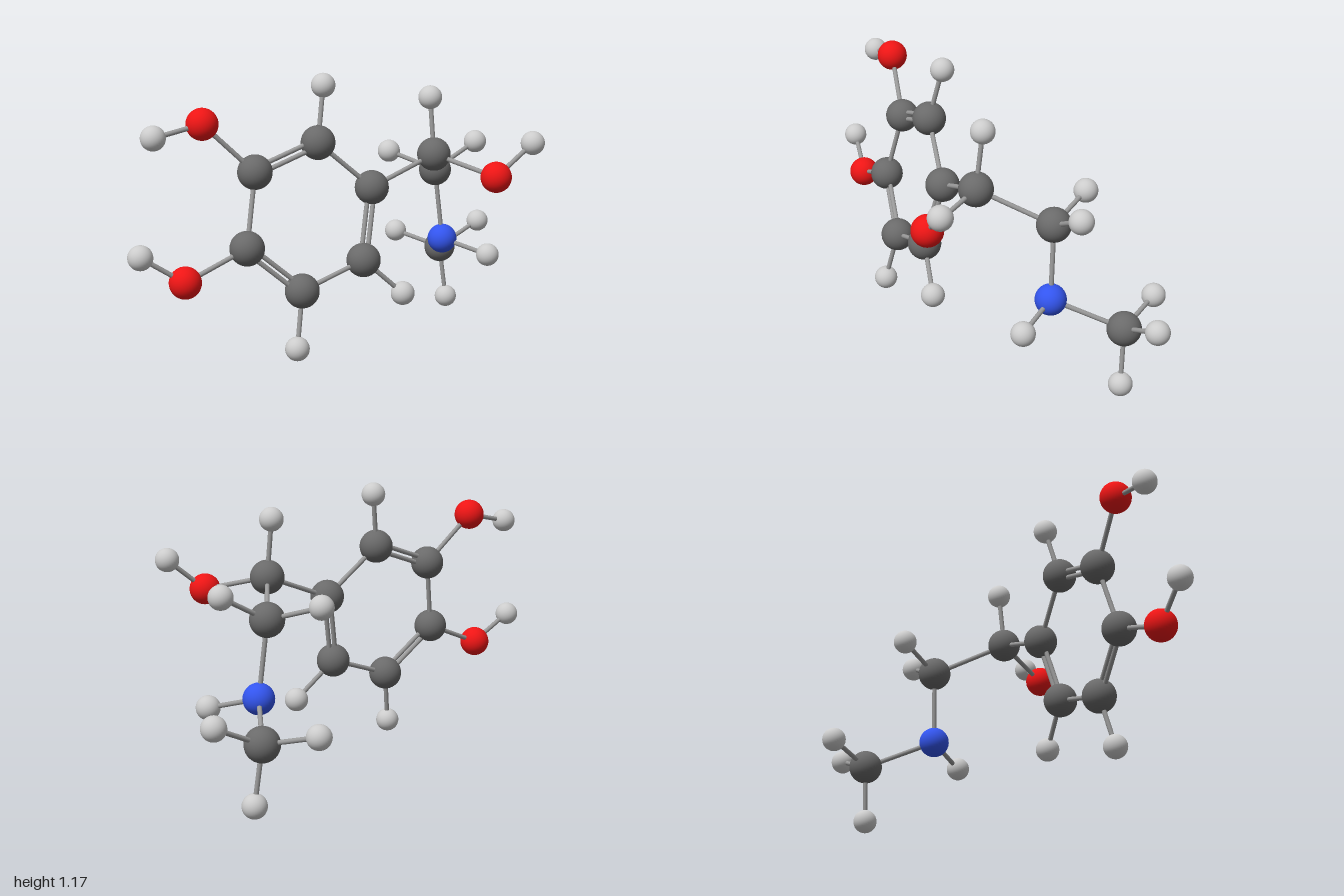
import * as THREE from 'three';

// Atom kinds: radius and colour
const KINDS = {
  carbon: { r: 0.068, color: 0x6a6a6a },
  hydrogen: { r: 0.048, color: 0xc0c0c0 },
  oxygen: { r: 0.062, color: 0xee1515 },
  nitrogen: { r: 0.062, color: 0x3355ee },
};

// name: [kind, x, y, z]
const ATOMS = {
  // six-membered ring
  ring1: ['carbon', 0.025, 0.709, 0.111],
  ring2: ['carbon', -0.187, 0.903, 0.037],
  ring3: ['carbon', -0.462, 0.815, -0.003],
  ring4: ['carbon', -0.532, 0.533, 0.037],
  ring5: ['carbon', -0.327, 0.345, 0.112],
  ring6: ['carbon', -0.05, 0.431, 0.151],
  // side chain
  chain1: ['carbon', 0.32, 0.813, 0.151],
  chain2: ['carbon', 0.526, 0.69, -0.065],
  amine: ['nitrogen', 0.55, 0.388, -0.041],
  chainEnd: ['carbon', 0.736, 0.28, -0.257],
  // hydroxyl groups
  upperOxygen: ['oxygen', -0.652, 1.011, -0.073],
  lowerOxygen: ['oxygen', -0.792, 0.436, 0.002],
  chainOxygen: ['oxygen', 0.407, 0.749, 0.423],
  upperOxygenH: ['hydrogen', -0.848, 0.975, -0.106],
  lowerOxygenH: ['hydrogen', -0.952, 0.548, -0.05],
  chainOxygenH: ['hydrogen', 0.564, 0.875, 0.467],
  // remaining hydrogens
  ring2H: ['hydrogen', -0.136, 1.12, 0.006],
  ring5H: ['hydrogen', -0.377, 0.128, 0.144],
  ring6H: ['hydrogen', 0.105, 0.28, 0.211],
  chain1H: ['hydrogen', 0.322, 1.042, 0.123],
  chain2HA: ['hydrogen', 0.73, 0.792, -0.035],
  chain2HB: ['hydrogen', 0.447, 0.749, -0.275],
  amineH: ['hydrogen', 0.637, 0.339, 0.15],
  endHA: ['hydrogen', 0.95, 0.371, -0.238],
  endHB: ['hydrogen', 0.756, 0.05, -0.235],
  endHC: ['hydrogen', 0.656, 0.327, -0.467],
};

const SINGLE = [
  ['ring1', 'ring2'], ['ring3', 'ring4'], ['ring5', 'ring6'],
  ['ring1', 'chain1'], ['chain1', 'chain2'], ['chain2', 'amine'], ['amine', 'chainEnd'],
  ['ring3', 'upperOxygen'], ['ring4', 'lowerOxygen'], ['chain1', 'chainOxygen'],
  ['upperOxygen', 'upperOxygenH'], ['lowerOxygen', 'lowerOxygenH'], ['chainOxygen', 'chainOxygenH'],
  ['ring2', 'ring2H'], ['ring5', 'ring5H'], ['ring6', 'ring6H'], ['chain1', 'chain1H'],
  ['chain2', 'chain2HA'], ['chain2', 'chain2HB'], ['amine', 'amineH'],
  ['chainEnd', 'endHA'], ['chainEnd', 'endHB'], ['chainEnd', 'endHC'],
];
const DOUBLE = [['ring2', 'ring3'], ['ring4', 'ring5'], ['ring6', 'ring1']];

const BOND_RADIUS = 0.0095;
const DOUBLE_OFFSET = 0.0135;
const UP = new THREE.Vector3(0, 1, 0);

const position = (name) => new THREE.Vector3(...ATOMS[name].slice(1));

export function createModel() {
  const model = new THREE.Group();
  model.name = 'ballAndStickMolecule';

  // Atoms: one shared sphere and material per kind
  const atoms = new THREE.Group();
  atoms.name = 'atoms';
  const looks = {};
  for (const [kind, { r, color }] of Object.entries(KINDS)) {
    looks[kind] = {
      geometry: new THREE.SphereGeometry(r, 32, 24),
      material: new THREE.MeshStandardMaterial({ color }),
    };
  }
  for (const [name, [kind]] of Object.entries(ATOMS)) {
    const ball = new THREE.Mesh(looks[kind].geometry, looks[kind].material);
    ball.name = `${kind} ${name}`;
    ball.position.copy(position(name));
    atoms.add(ball);
  }

  // Bonds: thin rods running between atom centres
  const bonds = new THREE.Group();
  bonds.name = 'bonds';
  const rodMaterial = new THREE.MeshStandardMaterial({ color: 0x999999 });
  const addRod = (name, a, b) => {
    const along = b.clone().sub(a);
    const rod = new THREE.Mesh(
      new THREE.CylinderGeometry(BOND_RADIUS, BOND_RADIUS, along.length(), 16), rodMaterial);
    rod.name = name;
    rod.position.copy(a).lerp(b, 0.5);
    rod.quaternion.setFromUnitVectors(UP, along.normalize());
    bonds.add(rod);
  };
  for (const [a, b] of SINGLE) addRod('singleBond', position(a), position(b));

  // Double bonds: a pair of rods spread within the plane of the ring
  const normal = position('ring3').sub(position('ring1'))
    .cross(position('ring5').sub(position('ring1'))).normalize();
  for (const [from, to] of DOUBLE) {
    const a = position(from), b = position(to);
    const side = b.clone().sub(a).cross(normal).setLength(DOUBLE_OFFSET);
    for (const s of [-1, 1]) {
      addRod('doubleBond', a.clone().addScaledVector(side, s), b.clone().addScaledVector(side, s));
    }
  }

  model.add(atoms, bonds);
  return model;
}
